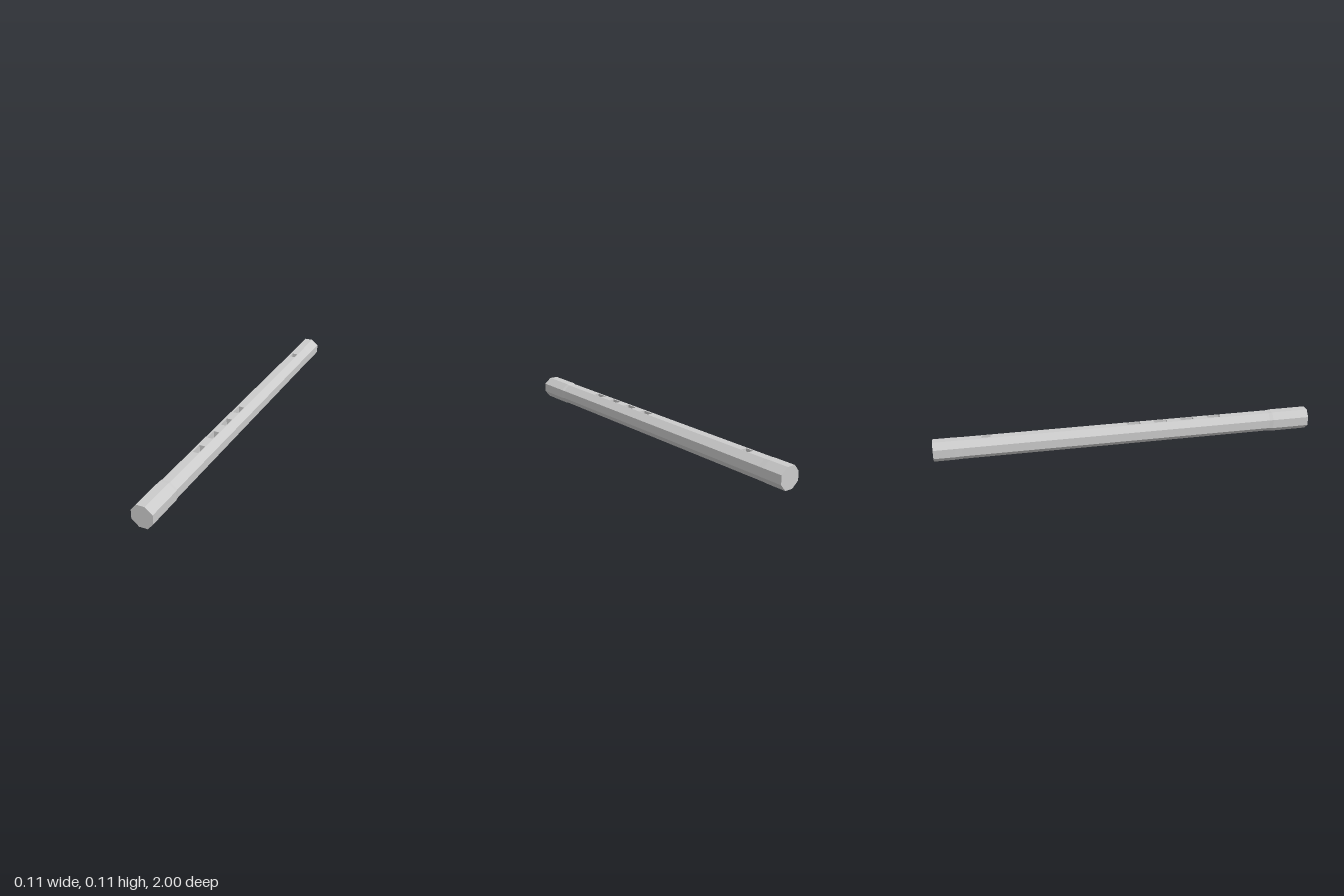
import * as THREE from 'three';

const MID = 0.0565;
// Octagonal section, counter-clockwise seen from the front; side 2 is the top
const RING = [[0.055, 0.035], [0.055, 0.082], [0.017, 0.113], [-0.028, 0.113],
  [-0.055, 0.079], [-0.055, 0.032], [-0.018, 0], [0.026, 0]];
const BODY = 0.945, TAIL = 0.965;
const BODY_FRONT = 0.78, BODY_BACK = -0.86;
const HOLE_DEPTH = 0.035;

const section = (z, s) => RING.map(([x, y]) => [x * s, MID + (y - MID) * s, z]);

// Loft between [z, scale] stations given front to back
function loft(stations, { skip = -1, capFront = false, capBack = false } = {}) {
  const pos = [];
  const tri = (...pts) => pts.forEach((p) => pos.push(...p));
  const rings = stations.map(([z, s]) => section(z, s));
  const n = RING.length;
  for (let k = 0; k < rings.length - 1; k++) {
    const a = rings[k], b = rings[k + 1];
    for (let i = 0; i < n; i++) {
      if (i === skip) continue;
      const j = (i + 1) % n;
      tri(a[i], b[i], a[j]);
      tri(a[j], b[i], b[j]);
    }
  }
  const first = rings[0], last = rings[rings.length - 1];
  for (let i = 1; i < n - 1; i++) {
    if (capFront) tri(first[0], first[i], first[i + 1]);
    if (capBack) tri(last[0], last[i + 1], last[i]);
  }
  const g = new THREE.BufferGeometry();
  g.setAttribute('position', new THREE.Float32BufferAttribute(pos, 3));
  g.computeVertexNormals();
  return g;
}

// Rectangle outline in plan; shape y runs towards the back
function rect(path, x0, x1, z0, z1) {
  path.moveTo(x0, -z1);
  path.lineTo(x1, -z1);
  path.lineTo(x1, -z0);
  path.lineTo(x0, -z0);
  path.closePath();
  return path;
}

export function createModel() {
  const group = new THREE.Group();
  const material = new THREE.MeshStandardMaterial({ color: 0xcccccc, flatShading: true });
  const add = (name, geometry) => {
    const mesh = new THREE.Mesh(geometry, material);
    mesh.name = name;
    group.add(mesh);
    return mesh;
  };

  // Thicker collars at both ends, tapering into the body
  add('frontEnd', loft([[1, 1], [0.8, 1], [BODY_FRONT, BODY]], { capFront: true }));
  add('backEnd', loft([[BODY_BACK, BODY], [-0.89, TAIL], [-1, TAIL]], { capBack: true }));

  // Tube body, left open along the top for the pierced plate
  add('body', loft([[BODY_FRONT, BODY], [BODY_BACK, BODY]], { skip: 2 }));

  // Top plate with the mouth hole and four finger holes
  const left = RING[3][0] * BODY, right = RING[2][0] * BODY;
  const top = MID + (RING[2][1] - MID) * BODY;
  const plate = rect(new THREE.Shape(), left, right, BODY_BACK, BODY_FRONT);
  const holes = [[-0.755, -0.71], [0, 0.07], [0.145, 0.215], [0.29, 0.36], [0.44, 0.51]];
  for (const [z0, z1] of holes) {
    plate.holes.push(rect(new THREE.Path(), -0.016, 0.0145, z0, z1));
  }
  const plateGeometry = new THREE.ExtrudeGeometry(plate, { depth: HOLE_DEPTH, bevelEnabled: false });
  plateGeometry.rotateX(-Math.PI / 2).translate(0, top - HOLE_DEPTH, 0);
  add('topPlate', plateGeometry);

  // Floors closing the holes
  for (const [z0, z1] of holes) {
    const floor = new THREE.PlaneGeometry(right - left, z1 - z0 + 0.01).rotateX(-Math.PI / 2);
    add('holeFloor', floor).position.set((left + right) / 2, top - HOLE_DEPTH, (z0 + z1) / 2);
  }
  return group;
}
